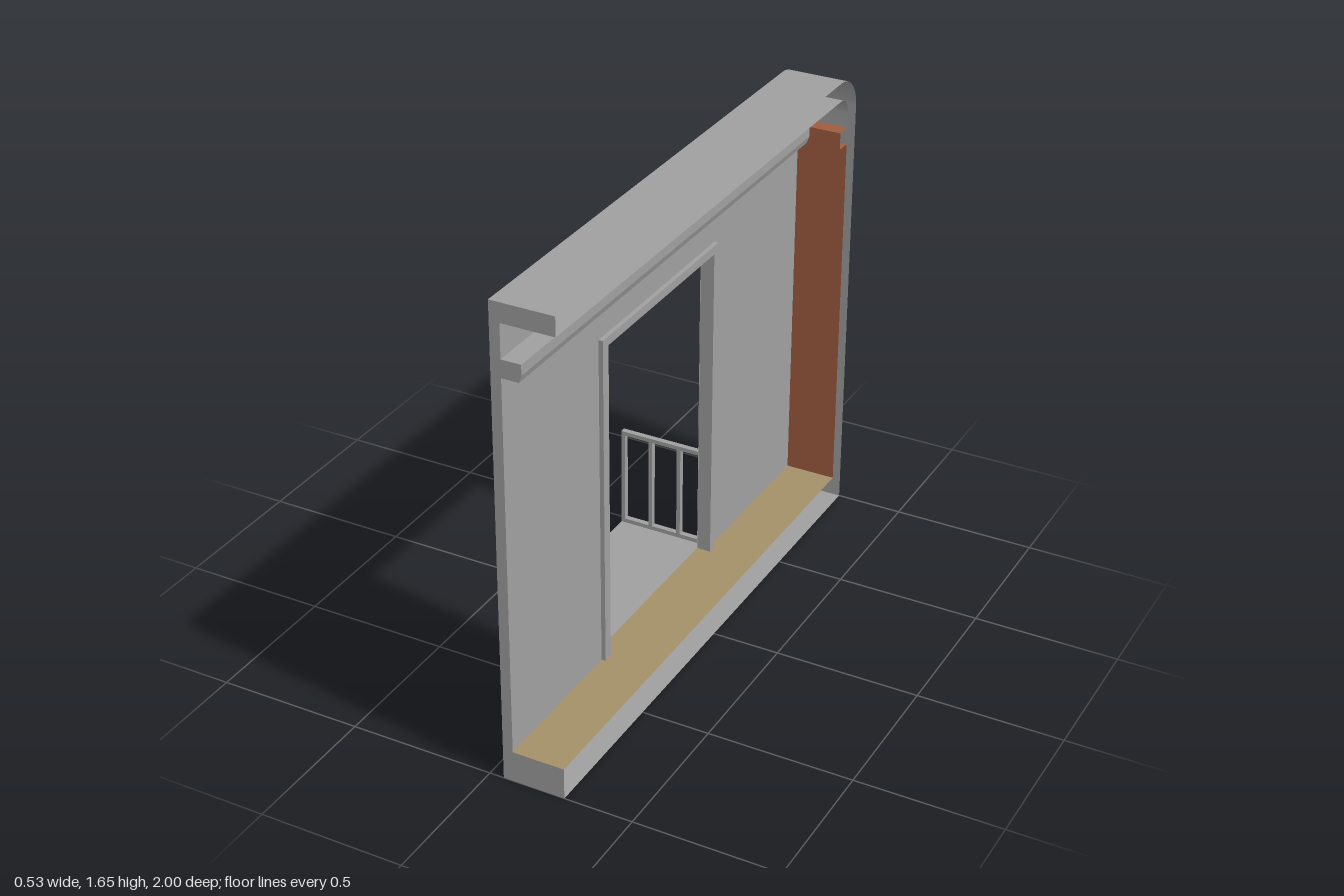
import * as THREE from 'three';
import { toCreasedNormals } from 'three/addons/utils/BufferGeometryUtils.js';

const mat = (name, color) => {
  const m = new THREE.MeshStandardMaterial({ color, side: THREE.DoubleSide });
  m.name = name;
  return m;
};

export function createModel() {
  const grey = mat('plaster grey', 0xa0a0a0);
  const rust = mat('rust orange', 0xa05d3f);
  const tan = mat('floor tan', 0xa39168);
  const model = new THREE.Group();
  model.name = 'wallSectionWithBalcony';

  const BACK = 0.05, INNER = 0.085, OPEN = 0.265;

  const add = (name, geo, material = grey, parent = model) => {
    const mesh = new THREE.Mesh(geo, material);
    mesh.name = name;
    parent.add(mesh);
    return mesh;
  };
  // Box given by its minimum and maximum corners
  const box = (name, x0, x1, y0, y1, z0, z1, parent = model) => {
    const mesh = add(name, new THREE.BoxGeometry(x1 - x0, y1 - y0, z1 - z0), grey, parent);
    mesh.position.set((x0 + x1) / 2, (y0 + y1) / 2, (z0 + z1) / 2);
    return mesh;
  };
  // Open sheet that follows a [z, y] path and spans x0 to x1; the +x side stays open
  const ribbon = (name, path, material, x0 = BACK, x1 = OPEN) => {
    const pos = [], index = [];
    path.forEach(([z, y], i) => {
      pos.push(x0, y, z, x1, y, z);
      if (i) {
        const a = 2 * i - 2;
        index.push(a, a + 1, a + 2, a + 1, a + 3, a + 2);
      }
    });
    const geo = new THREE.BufferGeometry();
    geo.setAttribute('position', new THREE.Float32BufferAttribute(pos, 3));
    geo.setIndex(index);
    geo.computeVertexNormals();
    add(name, toCreasedNormals(geo, 0.5), material);
  };
  // Flat wall sheet at x, outlined by [z, y] points
  const sheet = (name, x, outline) => {
    const shape = new THREE.Shape(outline.map(([z, y]) => new THREE.Vector2(-z, y)));
    const mesh = add(name, new THREE.ShapeGeometry(shape));
    mesh.rotation.y = Math.PI / 2;
    mesh.position.x = x;
  };
  // Rounded upper corner at the far end, from the end wall to the roof
  const corner = (z, y, r) => Array.from({ length: 13 }, (_, i) => {
    const a = (i / 12) * Math.PI / 2;
    return [z + r - r * Math.cos(a), y - r + r * Math.sin(a)];
  });
  const outerArc = corner(-1, 1.655, 0.125);
  const innerArc = corner(-0.935, 1.59, 0.06);

  // Hollow outer shell: underside, end wall, rounded corner and roof
  ribbon('outerShell', [[1, 0], [-1, 0], ...outerArc, [1, 1.655]], grey);

  // Inner lining: floor, end wall with its ledge, and ceiling
  ribbon('floor', [[1, 0.11], [-0.935, 0.11]], tan);
  ribbon('endWallAndLedge', [[-0.935, 0.11], [-0.935, 1.415], [-0.88, 1.415],
    [-0.88, 1.475], [-0.935, 1.475]], rust, INNER);
  ribbon('ceiling', [[-0.935, 1.475], ...innerArc, [1, 1.59]], grey, INNER);

  // Wall skins, cut out around the doorway (and the balcony base outside)
  sheet('outerWall', BACK, [[1, 0], [0.45, 0], [0.45, 0.105], [0.41, 0.105], [0.41, 1.245],
    [-0.29, 1.245], [-0.29, 0.105], [-0.345, 0.105], [-0.345, 0], [-1, 0],
    ...outerArc, [1, 1.655]]);
  sheet('innerWall', INNER, [[1, 0.11], [0.41, 0.11], [0.41, 1.245], [-0.29, 1.245],
    [-0.29, 0.11], [-0.935, 0.11], ...innerArc, [1, 1.59]]);

  // Flat end faces closing the cut edge at the front
  const cap = (name, x0, x1, y0, y1) => {
    const mesh = add(name, new THREE.PlaneGeometry(x1 - x0, y1 - y0));
    mesh.position.set((x0 + x1) / 2, (y0 + y1) / 2, 1);
  };
  cap('floorEnd', BACK, OPEN, 0, 0.11);
  cap('wallEnd', BACK, INNER, 0.11, 1.59);
  cap('roofEnd', BACK, OPEN, 1.59, 1.655);

  // Ledge along the wall, slightly undercut
  const profile = new THREE.Shape([[INNER, 1.415], [0.143, 1.415], [0.152, 1.44],
    [0.152, 1.475], [INNER, 1.475]].map(([x, y]) => new THREE.Vector2(x, y)));
  add('wallLedge', new THREE.ExtrudeGeometry(profile, { depth: 1.935, bevelEnabled: false }))
    .position.z = -0.935;

  // Door frame
  const frame = new THREE.Group();
  frame.name = 'doorFrame';
  model.add(frame);
  box('leftJamb', BACK + 0.001, 0.1, 0.11, 1.245, 0.41, 0.445, frame);
  box('rightJamb', BACK + 0.001, 0.1, 0.11, 1.245, -0.32, -0.29, frame);
  box('doorLintel', BACK + 0.001, 0.1, 1.245, 1.275, -0.32, 0.445, frame);

  // Balcony base, open towards the hollow wall
  const base = box('balconyBase', -0.265, BACK, 0, 0.105, -0.345, 0.45);
  base.geometry.setIndex(Array.from(base.geometry.index.array).slice(6));
  base.geometry.clearGroups();

  // Railings on both sides of the balcony
  for (const [name, z0] of [['rightRailing', -0.345], ['leftRailing', 0.43]]) {
    const rail = new THREE.Group();
    rail.name = name;
    model.add(rail);
    const z1 = z0 + 0.02;
    box('bottomRail', -0.265, BACK, 0.105, 0.12, z0, z1, rail);
    box('topRail', -0.265, BACK, 0.455, 0.47, z0, z1, rail);
    for (const x of [-0.265, -0.159, -0.05, 0.036]) {
      box('baluster', x, x + 0.014, 0.12, 0.455, z0, z1, rail);
    }
  }
  return model;
}
